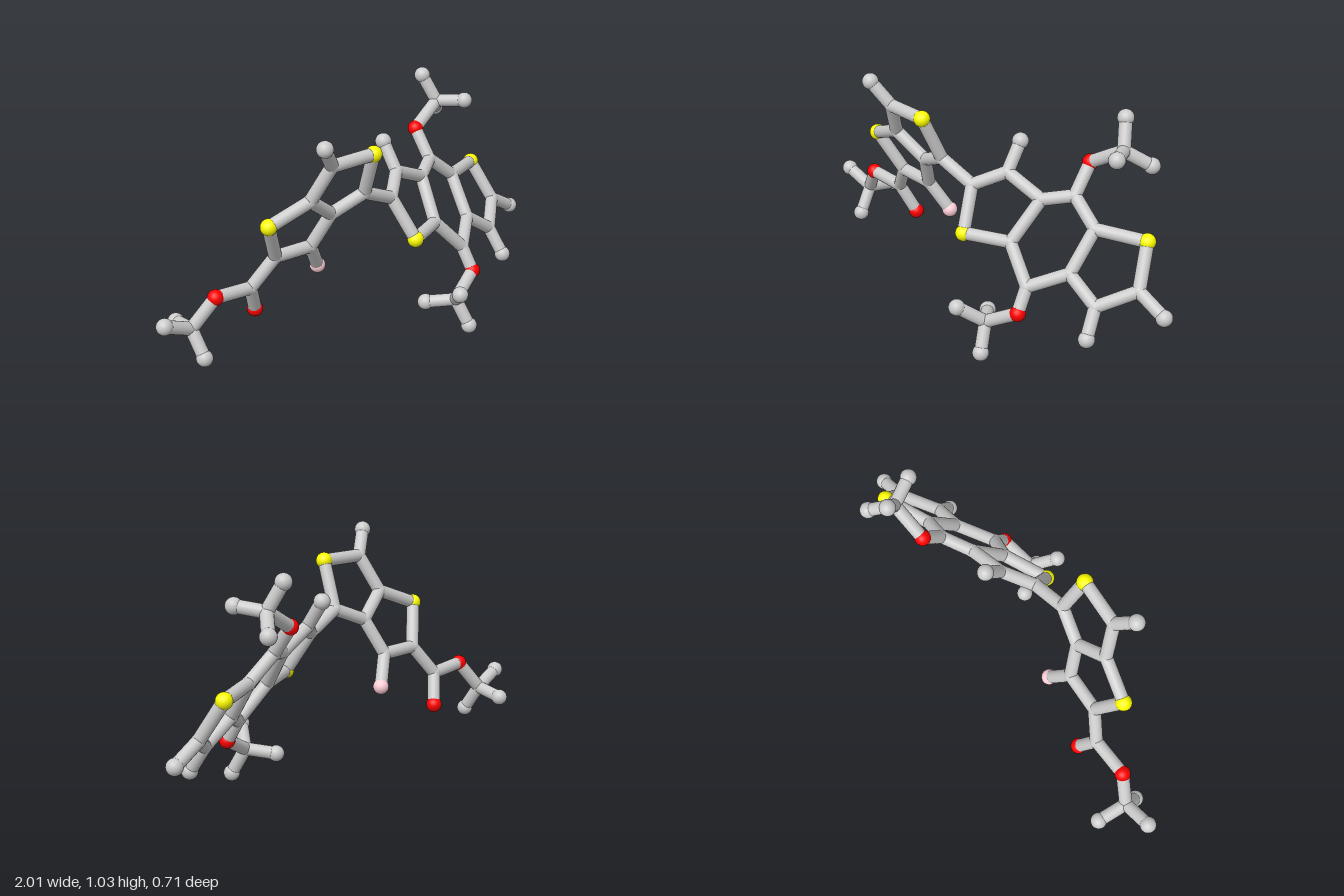
import * as THREE from 'three';

const BOND = 0.028;
const grey = new THREE.MeshStandardMaterial({ color: 0xcccccc });
const coloured = (color) => new THREE.MeshStandardMaterial({ color });

// Ball kinds: name, radius, material
const KINDS = {
  joint: ['carbonJoint', 0.0295, grey],
  end: ['endBall', 0.035, grey],
  sulfur: ['sulfurBall', 0.035, coloured(0xffff00)],
  oxygen: ['oxygenBall', 0.034, coloured(0xff0000)],
  pink: ['pinkBall', 0.034, coloured(0xffd0d8)],
};

// Both ring systems are flat: z follows from x and y
const leftPlane = (x, y) => -0.242 + 0.11 * x + 0.45 * y;
const rightPlane = (x, y) => 0.509 - 0.37 * x - 0.676 * y;

const ball = new THREE.SphereGeometry(1, 24, 16);
const rod = new THREE.CylinderGeometry(1, 1, 1, 20, 1, true);

// A named cluster of balls [kind, x, y, z?] joined by rods 'a-b'
function cluster(name, plane, atoms, bonds, shared) {
  const group = new THREE.Group();
  group.name = name;
  for (const [id, [kind, x, y, z = plane(x, y)]] of Object.entries(atoms)) {
    const [label, radius, material] = KINDS[kind];
    const mesh = new THREE.Mesh(ball, material);
    mesh.name = label;
    mesh.position.set(x, y, z);
    mesh.scale.setScalar(radius);
    group.add(mesh);
    shared[id] = mesh.position;
  }
  for (const path of bonds) {
    const ids = path.split('-');
    for (let i = 1; i < ids.length; i++) group.add(makeBond(shared[ids[i - 1]], shared[ids[i]]));
  }
  return group;
}

function makeBond(a, b) {
  const dir = b.clone().sub(a);
  const mesh = new THREE.Mesh(rod, grey);
  mesh.name = 'bond';
  mesh.position.copy(a).addScaledVector(dir, 0.5);
  mesh.scale.set(BOND, dir.length(), BOND);
  mesh.quaternion.setFromUnitVectors(new THREE.Vector3(0, 1, 0), dir.normalize());
  return mesh;
}

export function createModel() {
  const model = new THREE.Group();
  model.name = 'molecule';
  const at = {};

  // Two fused five-sided rings
  model.add(cluster('doubleRing', leftPlane, {
    s1: ['sulfur', -0.145, 0.906],
    a1: ['joint', -0.35, 0.9],
    a2: ['joint', -0.4, 0.745],
    a3: ['joint', -0.26, 0.645],
    a4: ['joint', -0.115, 0.71],
    s2: ['sulfur', -0.575, 0.67],
    a5: ['joint', -0.485, 0.495],
    a6: ['joint', -0.31, 0.495],
    h1: ['end', -0.427, 1.0, 0.168],
    f1: ['pink', -0.23, 0.372],
  }, ['s1-a1-a2-a3-a4-s1', 'a2-s2-a5-a6-a3', 'a1-h1', 'a6-f1'], at));

  // Side chain of the double ring
  model.add(cluster('esterChain', leftPlane, {
    e1: ['joint', -0.572, 0.366, -0.13],
    o1: ['oxygen', -0.515, 0.24, -0.175],
    o2: ['oxygen', -0.748, 0.377, -0.139],
    e2: ['joint', -0.837, 0.252, -0.19],
    h2: ['end', -0.97, 0.307, -0.187],
    h3: ['end', -0.83, 0.142, -0.121],
    h4: ['end', -0.815, 0.233, -0.32],
  }, ['a5-e1-o1', 'e1-o2-e2', 'e2-h2', 'e2-h3', 'e2-h4'], at));

  // Six-sided ring fused between two five-sided rings
  model.add(cluster('tripleRing', rightPlane, {
    b1: ['joint', 0.05, 0.64],
    s3: ['sulfur', 0.095, 0.468],
    b2: ['joint', 0.168, 0.705],
    b3: ['joint', 0.34, 0.632],
    b4: ['joint', 0.29, 0.468],
    b5: ['joint', 0.46, 0.665],
    b6: ['joint', 0.585, 0.565],
    b7: ['joint', 0.56, 0.4],
    b8: ['joint', 0.42, 0.328],
    s4: ['sulfur', 0.794, 0.556],
    b9: ['joint', 0.837, 0.388],
    b10: ['joint', 0.703, 0.308],
    h5: ['end', 0.168, 0.82],
    h6: ['end', 0.965, 0.317],
    h7: ['end', 0.72, 0.195],
  }, ['a4-b1-b2-b3-b4-s3-b1', 'b3-b5-b6-b7-b8-b4', 'b6-s4-b9-b10-b7',
    'b2-h5', 'b9-h6', 'b10-h7'], at));

  // Upper and lower branches of the six-sided ring
  model.add(cluster('upperBranch', rightPlane, {
    o3: ['oxygen', 0.463, 0.786, -0.2],
    c1: ['joint', 0.615, 0.876, -0.217],
    h8: ['end', 0.577, 0.992, -0.27],
    h9: ['end', 0.671, 0.891, -0.1],
    h10: ['end', 0.696, 0.808, -0.3],
  }, ['b5-o3-c1', 'c1-h8', 'c1-h9', 'c1-h10'], at));
  model.add(cluster('lowerBranch', rightPlane, {
    o4: ['oxygen', 0.425, 0.23, 0.19],
    c2: ['joint', 0.281, 0.15, 0.225],
    h11: ['end', 0.206, 0.226, 0.317],
    h12: ['end', 0.2, 0.131, 0.122],
    h13: ['end', 0.307, 0.036, 0.282],
  }, ['b8-o4-c2', 'c2-h11', 'c2-h12', 'c2-h13'], at));

  return model;
}
